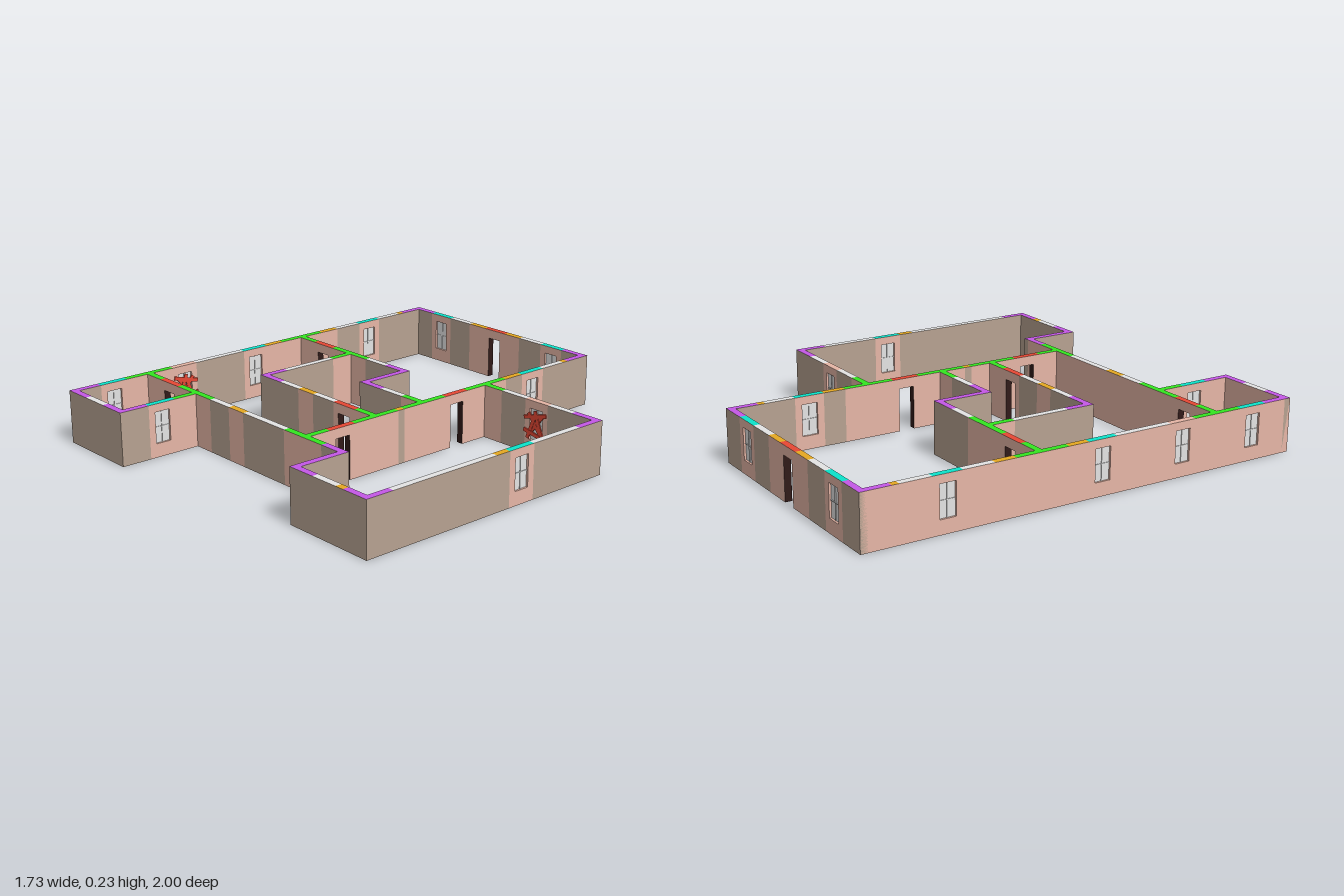
import * as THREE from 'three';

const H = 0.232, T = 0.03;               // wall height and thickness
const mat = (name, color) => {
  const m = new THREE.MeshStandardMaterial({ color });
  m.name = name;
  return m;
};
const tan = mat('tan plaster', 0xb7a291), pink = mat('pink plaster', 0xe6b6a6);
const dark = mat('dark base', 0x301a18), grey = mat('pale grey', 0xe4e4e4);
const purple = mat('purple cap', 0xc658e8), green = mat('green cap', 0x34e620);
const teal = mat('teal cap', 0x0ce4cb), orange = mat('orange cap', 0xe6a922);
const red = mat('red', 0xec4a36);

// Wall piece kinds: name, cap colour, side colour
const kinds = {
  p: ['cornerWall', purple, tan],
  g: ['junctionWall', green, pink],
  s: ['straightWall', grey, tan],
  o: ['pinkFillerWall', orange, pink],
  t: ['tanFillerWall', orange, tan],
  w: ['windowWall', teal, pink],
  d: ['doorWall', red, pink],
  b: ['boardedWindowWall', pink, pink],
};

// Box from x0..x1, y0..y1, centred on z; materials: +x, -x, +y, -y, +z, -z
function slab(parent, name, x0, x1, y0, y1, depth, material, z = 0) {
  const mesh = new THREE.Mesh(new THREE.BoxGeometry(x1 - x0, y1 - y0, depth), material);
  mesh.position.set((x0 + x1) / 2, (y0 + y1) / 2, z);
  mesh.name = name;
  parent.add(mesh);
  return mesh;
}

// One wall piece of length len, built along x and centred on the origin.
// inside: local z direction of the room; pinkSide: local z side that is all pink
function wallPiece(code, len, inside, pinkSide) {
  const [name, cap, side] = kinds[code];
  const g = new THREE.Group();
  g.name = name;
  const h = len / 2;
  const front = pinkSide === 1 ? pink : side, back = pinkSide === -1 ? pink : side;
  const faces = (px = side, nx = side, bottom = dark) => [px, nx, cap, bottom, front, back];
  if (!'wdb'.includes(code)) {
    slab(g, 'wall', -h, h, 0, H, T, faces());
    return g;
  }
  const door = code === 'd', w = 0.035, y0 = door ? 0 : 0.06, y1 = door ? 0.19 : 0.197;
  const reveal = door ? dark : pink;
  slab(g, 'jamb', -h, -w, 0, H, T, faces(reveal));
  slab(g, 'jamb', w, h, 0, H, T, faces(side, reveal));
  slab(g, 'lintel', -w, w, y1, H, T, faces(side, side, reveal));
  if (door) return g;

  // Sill, glass and glazing bars
  slab(g, 'sill', -w, w, 0, y0, T, [side, side, side, dark, side, side]);
  slab(g, 'glass', -w, w, y0, y1, 0.012, grey);
  slab(g, 'uprightBar', -0.002, 0.002, y0, y1, 0.018, grey);
  slab(g, 'crossBar', -w, w, 0.127, 0.131, 0.018, grey);

  // Crossed boards nailed over the inner side
  if (code === 'b') {
    const boards = [[0, 0.13, 0.9], [0, 0.13, -0.9], [-0.02, 0.125, 1.2],
      [0.02, 0.135, -1.2], [0, 0.17, 0.25], [0, 0.09, -0.2]];
    boards.forEach(([x, y, angle], i) => {
      const m = slab(g, 'board', -0.062, 0.062, -0.008, 0.008, 0.005, red,
        inside * (T / 2 + 0.003 + i * 0.0008));
      m.position.x = x;
      m.position.y = y;
      m.rotation.z = angle;
    });
  }
  return g;
}

// Runs: axis, fixed coordinate, pink side (world axis sign, 0 for none), start,
// then pairs of piece kind and end
const runs = [
  ['x', -0.985, 0, -0.867, 'p', -0.74, 'w', -0.61, 's', -0.477, 'o', -0.375, 'd', -0.247,
    'o', -0.15, 's', -0.015, 'w', 0.112, 'p', 0.243],
  ['z', -0.852, -1, -1, 'p', -0.87, 't', -0.84, 's', -0.705, 'w', -0.578, 's', -0.44, 'o', -0.345,
    'g', -0.11, 'o', -0.018, 'w', 0.113, 's', 0.375, 'b', 0.5, 'g', 0.735, 'w', 0.865, 'p', 1],
  ['z', 0.228, 0, -1, 'p', -0.87, 't', -0.84, 's', -0.708, 'w', -0.576, 't', -0.476, 'g', -0.245,
    'd', -0.12, 'g', 0.113, 't', 0.145, 'g', 0.375, 'd', 0.505, 'g', 0.632],
  ['x', -0.363, 0, 0.213, 'g', 0.342, 's', 0.478, 'b', 0.602, 's', 0.73, 'p', 0.867],
  ['z', 0.852, 0, -0.378, 'p', -0.245, 's', 0.015, 'w', 0.146, 't', 0.215, 's', 0.735, 'p', 0.862],
  ['x', 0.847, 0, 0.44, 'p', 0.57, 's', 0.7, 't', 0.74, 'p', 0.867],
  ['z', 0.455, 0, 0.602, 'p', 0.862],
  ['x', 0.617, -1, -0.867, 'g', -0.74, 'd', -0.61, 'g', -0.377, 's', -0.247, 'o', -0.15,
    's', 0.114, 'g', 0.343, 'p', 0.47],
  ['x', 0.985, -1, -0.867, 'p', -0.74, 's', -0.61, 'p', -0.477],
  ['z', -0.492, -1, 0.617, 'g', 0.735, 'w', 0.865, 'p', 1],
  ['x', -0.232, 0, -0.867, 'g', -0.74, 'd', -0.61, 'g', -0.377, 's', -0.25, 'p', -0.118],
  ['z', -0.492, 0, -0.232, 'g', -0.113, 's', 0.145, 'p', 0.271],
  ['x', 0.256, 0, -0.507, 'p', -0.372, 's', -0.247, 'o', -0.15, 's', -0.017, 'd', 0.114, 'g', 0.228],
  ['z', -0.133, 0, -0.247, 'p', 0.015],
  ['x', 0, 0, -0.148, 'p', -0.017, 's', 0.114, 'g', 0.228],
];

export function createModel() {
  const model = new THREE.Group();
  model.name = 'floorPlanWalls';
  runs.forEach(([axis, fixed, pinkSide, start, ...parts]) => {
    const run = new THREE.Group();
    run.name = 'wallRun';
    const sign = axis === 'x' ? 1 : -1;   // local z against world x or z
    let a = start;
    for (let i = 0; i < parts.length; i += 2) {
      const b = parts[i + 1], mid = (a + b) / 2;
      const piece = wallPiece(parts[i], b - a, sign, sign * pinkSide);
      if (axis === 'x') piece.position.set(mid, 0, fixed);
      else {
        piece.position.set(fixed, 0, mid);
        piece.rotation.y = -Math.PI / 2;
      }
      run.add(piece);
      a = b;
    }
    model.add(run);
  });
  return model;
}
